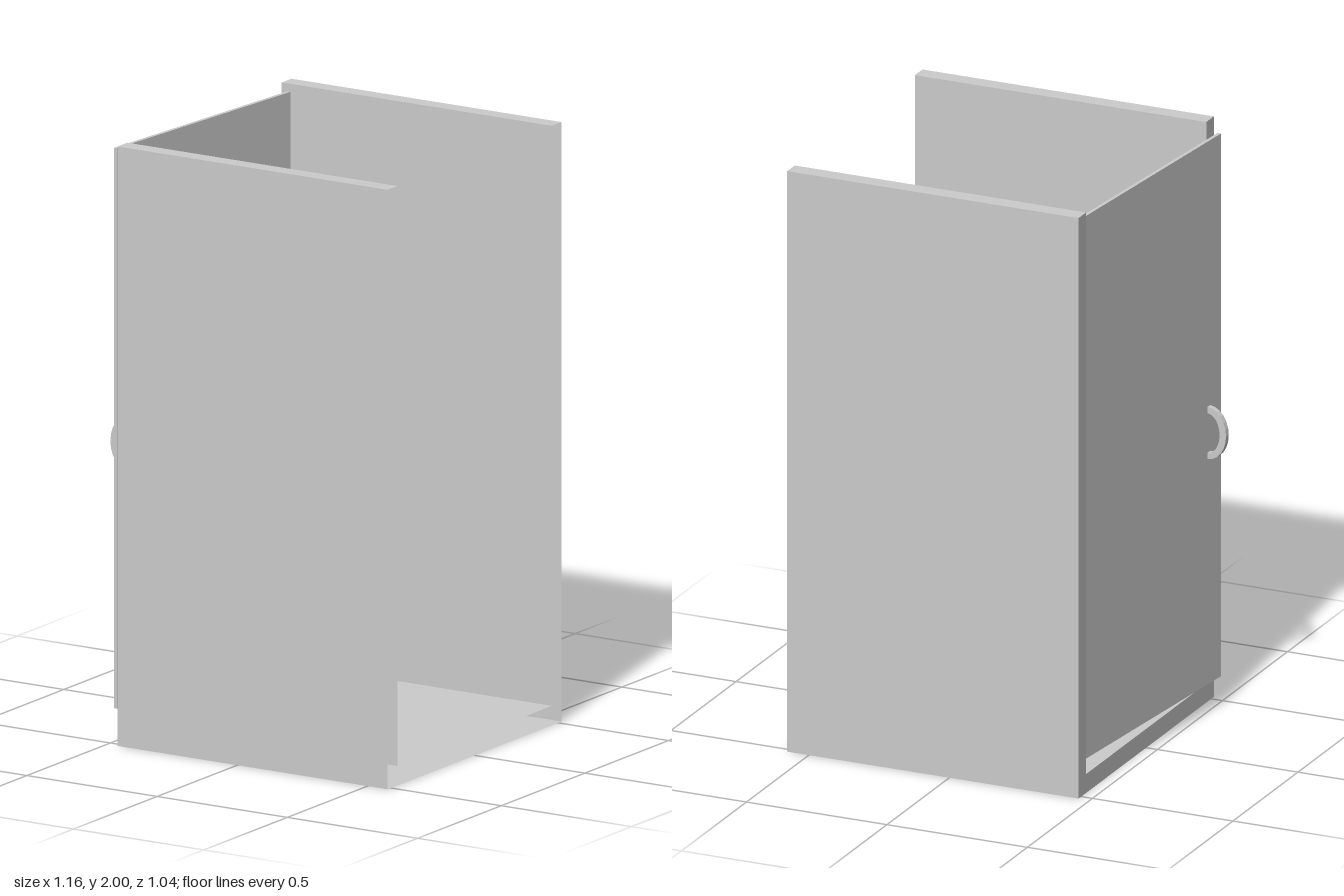
import * as THREE from 'three';

const material = new THREE.MeshStandardMaterial({ color: 0xcccccc, side: THREE.DoubleSide });

function addMesh(parent, name, geometry) {
  const mesh = new THREE.Mesh(geometry, material);
  mesh.name = name;
  parent.add(mesh);
  return mesh;
}

// Skin swept along x between two ends of a closed (z, y) outline, ends left open
function sweptSkin(outline, x0, x1) {
  const positions = [];
  outline.forEach(([az, ay], k) => {
    const [bz, by] = outline[(k + 1) % outline.length];
    const a0 = [x0, ay, az], a1 = [x1, ay, az];
    const b0 = [x0, by, bz], b1 = [x1, by, bz];
    positions.push(...a0, ...a1, ...b1, ...a0, ...b1, ...b0);
  });
  const geometry = new THREE.BufferGeometry();
  geometry.setAttribute('position', new THREE.Float32BufferAttribute(positions, 3));
  geometry.computeVertexNormals();
  return geometry;
}

// C-shaped pull: half an elliptical ring, bulging towards -x
function pullGeometry(outer, inner, width) {
  const arc = ([rx, ry]) => Array.from({ length: 13 }, (_, k) => {
    const t = (k / 12) * Math.PI;
    return new THREE.Vector2(-rx * Math.sin(t), ry * Math.cos(t));
  });
  const shape = new THREE.Shape([...arc(outer), ...arc(inner).reverse()]);
  const geometry = new THREE.ExtrudeGeometry(shape, { depth: width, bevelEnabled: false });
  return geometry.translate(0, 0, -width / 2);
}

export function createModel() {
  const model = new THREE.Group();
  model.name = 'enclosure';

  // Hollow U-shaped body: two walls and a floor, closed at the door end only
  const out = 0.52, inn = 0.462, floor = 0.065, x0 = -0.46, x1 = 0.577;
  const outline = [
    [-out, 0], [out, 0], [out, 2], [inn, 2],
    [inn, floor], [-inn, floor], [-inn, 2], [-out, 2],
  ];
  const body = new THREE.Group();
  body.name = 'body';
  addMesh(body, 'wallsAndFloor', sweptSkin(outline, x0, x1));
  const endShape = new THREE.Shape(outline.map(([z, y]) => new THREE.Vector2(z, y)));
  addMesh(body, 'endFrame', new THREE.ShapeGeometry(endShape).rotateY(-Math.PI / 2).translate(x0, 0, 0));
  model.add(body);

  // Door standing slightly ajar, its hinge edge set into the back wall
  const bottom = 0.103, top = 1.973, thickness = 0.0125;
  const door = new THREE.Group();
  door.name = 'door';
  door.position.set(-0.4705, 0, -0.0255);
  door.rotation.y = -0.0845;
  const panel = addMesh(door, 'doorPanel', new THREE.BoxGeometry(thickness, top - bottom, 0.958));
  panel.position.y = (top + bottom) / 2;

  // Handle near the free edge
  const handle = addMesh(door, 'doorHandle', pullGeometry([0.069, 0.09], [0.045, 0.068], 0.018));
  handle.position.set(-thickness / 2, 0.97, 0.4);
  model.add(door);

  return model;
}
